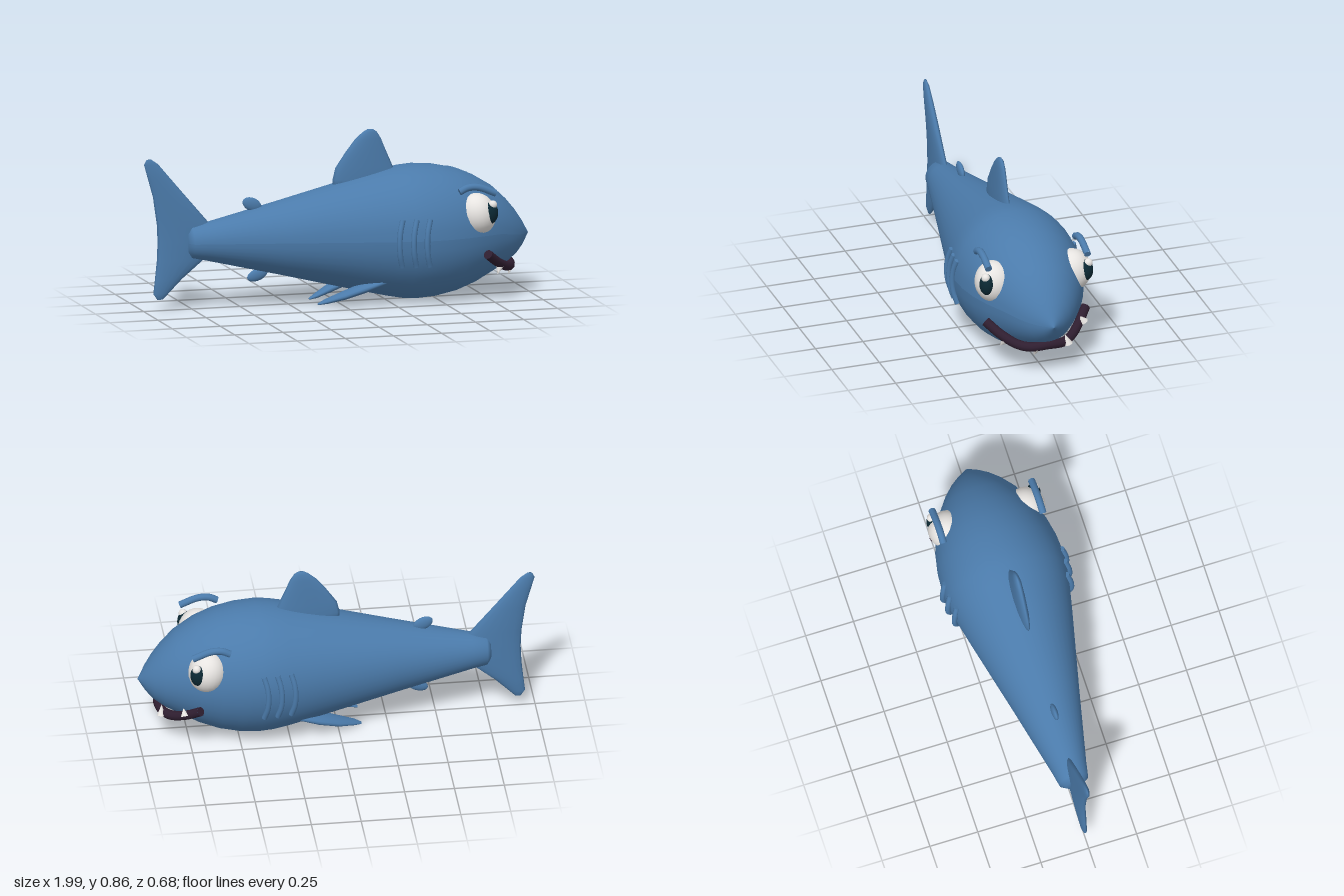
import * as THREE from 'three';

const mat = (name, color) => {
  const m = new THREE.MeshStandardMaterial({ color });
  m.name = name;
  return m;
};
const V = (x, y, z) => new THREE.Vector3(x, y, z);

// Half height of the body along x
const PROFILE = [[-0.775, 0], [-0.775, 0.05], [-0.755, 0.08], [-0.68, 0.095], [-0.3, 0.185], [0.1, 0.283],
  [0.25, 0.318], [0.33, 0.333], [0.4, 0.338], [0.5, 0.331], [0.6, 0.31], [0.7, 0.272], [0.8, 0.215],
  [0.87, 0.163], [0.92, 0.114], [0.955, 0.068], [0.975, 0.034], [0.995, 0]];
const FLATTEN = 0.94; // body is a little narrower than tall

function bodyRadius(x) {
  const i = Math.max(1, PROFILE.findIndex(p => p[0] >= x));
  const [a, b] = [PROFILE[i - 1], PROFILE[i]];
  return a[1] + (b[1] - a[1]) * (x - a[0]) / (b[0] - a[0]);
}

// Turned body laid along x, nose drooping slightly
function bodyGeometry() {
  const g = new THREE.LatheGeometry(PROFILE.map(([x, r]) => new THREE.Vector2(r, x)), 40);
  g.rotateZ(-Math.PI / 2);
  const p = g.attributes.position;
  for (let i = 0; i < p.count; i++) {
    const x = p.getX(i);
    const droop = 0.038 * THREE.MathUtils.smoothstep(x, 0.75, 1);
    p.setXYZ(i, x, p.getY(i) + 0.342 - droop, p.getZ(i) * FLATTEN);
  }
  g.computeVertexNormals();
  return g;
}

// Lens-shaped loft: each section is { a, b, t } with edge points a, b and half thickness t along n
function finGeometry(sections, n, sides = 16) {
  const closed = s => ({ a: s.a.clone().lerp(s.b, 0.5), b: s.a.clone().lerp(s.b, 0.5), t: 0 });
  const rows = [closed(sections[0]), ...sections, closed(sections[sections.length - 1])];
  const pts = [], index = [];
  for (const { a, b, t } of rows) {
    for (let j = 0; j < sides; j++) {
      const th = j / sides * Math.PI * 2;
      pts.push(a.clone().lerp(b, 0.5 + 0.5 * Math.cos(th)).addScaledVector(n, t * Math.sin(th)));
    }
  }
  for (let i = 0; i < rows.length - 1; i++) {
    for (let j = 0; j < sides; j++) {
      const k = (j + 1) % sides, r = i * sides, q = r + sides;
      index.push(r + j, q + j, r + k, r + k, q + j, q + k);
    }
  }
  // Keep faces pointing outwards whichever way the sections run
  let volume = 0;
  for (let i = 0; i < index.length; i += 3) {
    volume += pts[index[i]].dot(pts[index[i + 1]].clone().cross(pts[index[i + 2]]));
  }
  if (volume < 0) index.reverse();
  const g = new THREE.BufferGeometry().setFromPoints(pts);
  g.setIndex(index);
  g.computeVertexNormals();
  return g;
}

// Upright fin from rows of [y, x back, x front, half thickness]
const uprightFin = rows => finGeometry(
  rows.map(([y, x0, x1, t]) => ({ a: V(x0, y, 0), b: V(x1, y, 0), t })), V(0, 0, 1));

export function createModel() {
  const root = new THREE.Group();
  root.name = 'shark';
  const blue = mat('blue skin', 0x4b7bab);
  const white = mat('white', 0xe9e6e3);
  const dark = mat('dark teal pupil', 0x0b2833);
  const plum = mat('plum lips', 0x2f1e30);

  const add = (name, geometry, material, parent = root) => {
    const m = new THREE.Mesh(geometry, material);
    m.name = name;
    parent.add(m);
    return m;
  };
  const ball = (name, material, pos, size, parent) => {
    const m = add(name, new THREE.SphereGeometry(1, 24, 16), material, parent);
    m.position.copy(pos);
    m.scale.copy(size);
    return m;
  };
  // Round tube with flat ends
  const tube = (name, points, r, material, parent, steps = 24) => {
    const curve = new THREE.CatmullRomCurve3(points);
    const group = new THREE.Group();
    group.name = name;
    parent.add(group);
    add(name + 'Tube', new THREE.TubeGeometry(curve, steps, r, 10), material, group);
    for (const end of [0, 1]) {
      const cap = add(name + 'End', new THREE.CircleGeometry(r, 10), material, group);
      cap.position.copy(curve.getPointAt(end));
      const dir = curve.getTangentAt(end).multiplyScalar(end ? 1 : -1);
      cap.quaternion.setFromUnitVectors(V(0, 0, 1), dir);
    }
  };

  add('body', bodyGeometry(), blue);

  add('dorsalFin', uprightFin([
    [0.56, -0.02, 0.33, 0.025], [0.62, -0.02, 0.315, 0.027], [0.68, -0.005, 0.29, 0.026],
    [0.76, 0.05, 0.255, 0.023], [0.82, 0.098, 0.23, 0.019], [0.852, 0.135, 0.21, 0.014],
    [0.866, 0.16, 0.19, 0.005]]), blue);

  add('tailFin', uprightFin([
    [0.77, -0.985, -0.96, 0.005], [0.745, -0.998, -0.925, 0.013], [0.68, -0.98, -0.87, 0.018],
    [0.58, -0.952, -0.785, 0.022], [0.44, -0.932, -0.665, 0.025], [0.35, -0.928, -0.65, 0.025],
    [0.255, -0.932, -0.685, 0.025], [0.16, -0.942, -0.8, 0.02], [0.09, -0.95, -0.87, 0.014],
    [0.06, -0.93, -0.9, 0.005]]), blue);

  // Small fins near the tail
  ball('rearTopFin', blue, V(-0.438, 0.517, 0), V(0.052, 0.033, 0.016)).rotation.z = -0.45;
  ball('rearBottomFin', blue, V(-0.41, 0.16, 0), V(0.055, 0.03, 0.016)).rotation.z = 0.35;

  for (const [s, side] of [[1, 'left'], [-1, 'right']]) {
    // Pectoral fin sweeping down and back
    const rows = [[0.21, 0.125, 0.08, 0.2, 0.018], [0.1, 0.09, 0.08, 0.195, 0.024], [0, 0.052, 0.07, 0.163, 0.02],
      [-0.08, 0.022, 0.06, 0.115, 0.012], [-0.118, 0.009, 0.068, 0.09, 0.004]];
    add(side + 'PectoralFin', finGeometry(
      rows.map(([x, y, z0, z1, t]) => ({ a: V(x, y, z0 * s), b: V(x, y, z1 * s), t })),
      V(-0.33, 0.94, 0)), blue);

    // Eye
    const eye = new THREE.Group();
    eye.name = side + 'Eye';
    root.add(eye);
    ball('eyeball', white, V(0.67, 0.447, 0.205 * s), V(0.095, 0.106, 0.098), eye).rotation.z = 0.2;
    ball('pupil', dark, V(0.722, 0.46, 0.26 * s), V(0.04, 0.056, 0.037), eye);
    ball('glint', white, V(0.732, 0.502, 0.27 * s), V(0.022, 0.022, 0.022), eye);

    // Brow floating above the eye
    tube(side + 'Brow', [V(0.563, 0.573, 0.26 * s), V(0.605, 0.592, 0.26 * s), V(0.66, 0.592, 0.26 * s),
      V(0.75, 0.558, 0.26 * s)], 0.018, blue, root);

    // Gill ridges
    for (const x of [0.25, 0.32, 0.388]) {
      const z = bodyRadius(x) * FLATTEN;
      tube(side + 'Gill', [V(x + 0.01, 0.45, (z - 0.012) * s), V(x - 0.006, 0.39, (z + 0.002) * s),
        V(x - 0.011, 0.33, (z + 0.007) * s), V(x - 0.006, 0.27, (z + 0.002) * s),
        V(x + 0.008, 0.213, (z - 0.014) * s)], 0.014, blue, root);
    }
  }

  // Wide wavy mouth wrapped round the snout
  const half = [[0.71, 0.25, 0.262], [0.775, 0.2, 0.205], [0.84, 0.165, 0.14], [0.876, 0.158, 0.085]];
  tube('mouth', [
    ...half.map(([x, y, z]) => V(x, y, z)),
    V(0.893, 0.165, 0),
    ...half.slice().reverse().map(([x, y, z]) => V(x, y, -z))], 0.024, plum, root, 64);

  // Teeth from base to tip
  const teeth = [
    [V(0.795, 0.178, 0.185), V(0.775, 0.138, 0.21)], [V(0.885, 0.152, 0.055), V(0.875, 0.108, 0.065)],
    [V(0.89, 0.15, -0.112), V(0.885, 0.203, -0.095)], [V(0.785, 0.208, -0.228), V(0.79, 0.243, -0.208)]];
  for (const [base, tip] of teeth) {
    const dir = tip.clone().sub(base);
    const tooth = add('tooth', new THREE.ConeGeometry(0.022, dir.length(), 8), white);
    tooth.position.copy(base).lerp(tip, 0.5);
    tooth.quaternion.setFromUnitVectors(V(0, 1, 0), dir.normalize());
  }
  return root;
}
